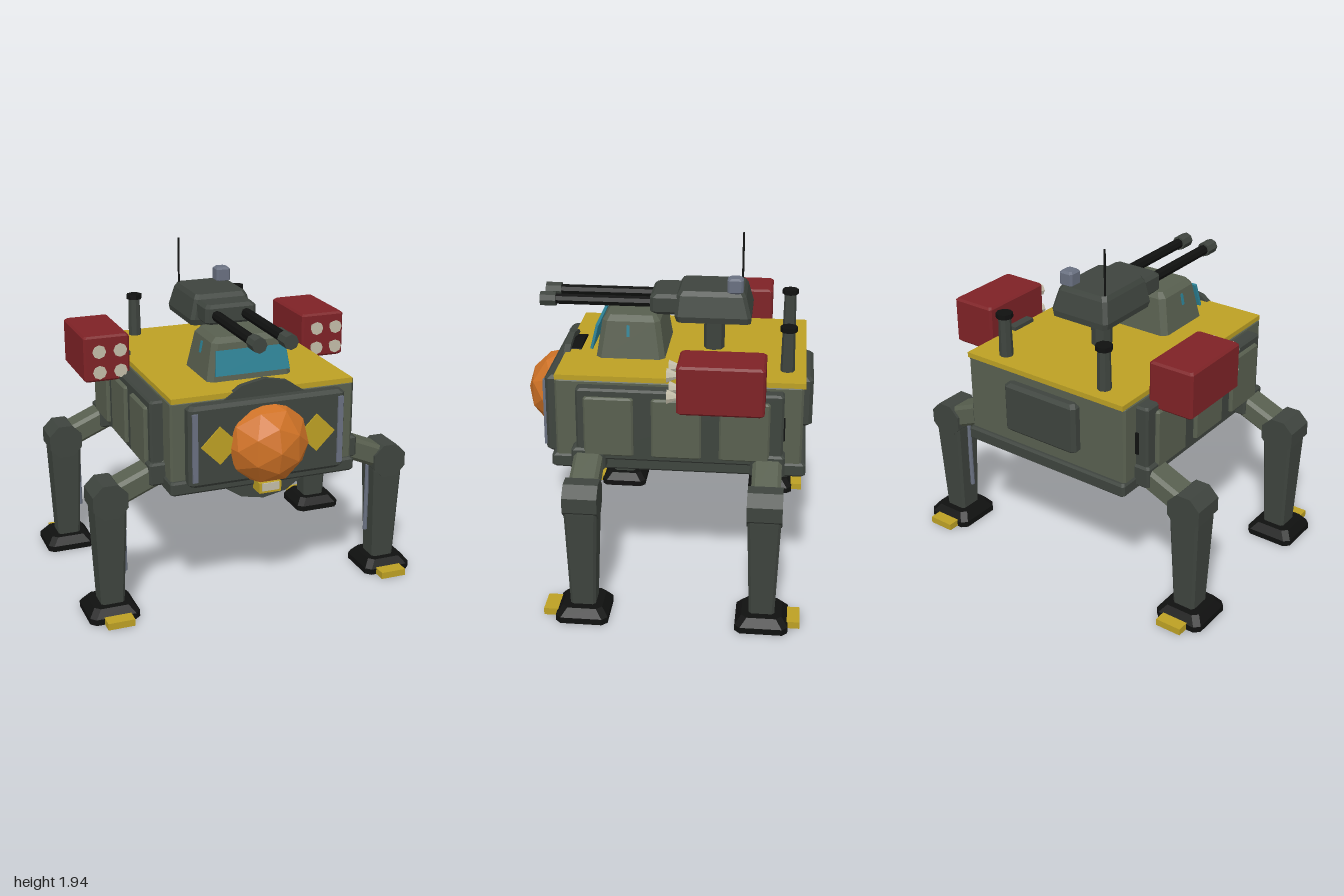
import * as THREE from 'three';

const mat = (name, color) => {
  const m = new THREE.MeshStandardMaterial({ color, flatShading: true });
  m.name = name;
  return m;
};
const M = {
  dark: mat('dark armour', 0x3e443e),
  olive: mat('olive armour', 0x585f4f),
  black: mat('black rubber', 0x101110),
  yellow: mat('yellow paint', 0xbca024),
  red: mat('red pod', 0x7e2226),
  orange: mat('orange dome', 0xcf7226),
  teal: mat('teal glass', 0x2b8094),
  steel: mat('blue steel', 0x697080),
  cream: mat('cream nozzle', 0xc2bca8),
};

// Lofts chamfered rectangles upward. Layers: [y, halfX, halfZ, corner cut, centre z]
function loft(layers) {
  const rings = layers.map(([y, hx, hz, c = 0.015, cz = 0]) => [
    [hx - c, hz], [hx, hz - c], [hx, c - hz], [hx - c, -hz],
    [c - hx, -hz], [-hx, c - hz], [-hx, hz - c], [c - hx, hz],
  ].map(([x, z]) => [x, y, z + cz]));
  const p = [];
  const tri = (a, b, c) => p.push(...a, ...b, ...c);
  for (let k = 0; k + 1 < rings.length; k++) {
    for (let i = 0; i < 8; i++) {
      const j = (i + 1) % 8, lo = rings[k], hi = rings[k + 1];
      tri(lo[i], lo[j], hi[j]);
      tri(lo[i], hi[j], hi[i]);
    }
  }
  const bottom = rings[0], top = rings[rings.length - 1];
  for (let i = 1; i < 7; i++) {
    tri(top[0], top[i], top[i + 1]);
    tri(bottom[0], bottom[i + 1], bottom[i]);
  }
  const g = new THREE.BufferGeometry();
  g.setAttribute('position', new THREE.Float32BufferAttribute(p, 3));
  g.computeVertexNormals();
  return g;
}

// Box with bevelled edges, centred on the origin
function bevelBox(w, h, d, b = 0.012) {
  const x = w / 2, y = h / 2, z = d / 2;
  return loft([[-y, x - b, z - b, b], [b - y, x, z, b], [y - b, x, z, b], [y, x - b, z - b, b]]);
}
const box = (w, h, d) => new THREE.BoxGeometry(w, h, d);
const cyl = (top, bottom, h, n = 8) => new THREE.CylinderGeometry(top, bottom, h, n);
// Cylinder along z, first radius facing front
const cylZ = (front, back, len, n = 8) => cyl(front, back, len, n).rotateX(Math.PI / 2);

function add(parent, name, geo, material, x = 0, y = 0, z = 0) {
  const m = new THREE.Mesh(geo, material);
  m.name = name;
  m.position.set(x, y, z);
  parent.add(m);
  return m;
}

function buildLeg(s, z, front) {
  const leg = new THREE.Group();
  leg.name = (front ? 'front' : 'rear') + (s > 0 ? 'LeftLeg' : 'RightLeg');
  leg.position.z = z;
  add(leg, 'hip', bevelBox(0.12, 0.13, 0.19), M.dark, s * 0.57, 0.83, 0);
  const thigh = add(leg, 'thigh', bevelBox(0.42, 0.13, 0.16, 0.02), M.olive, s * 0.665, 0.785, 0);
  thigh.rotation.z = -s * 0.4;
  add(leg, 'knee', cylZ(0.108, 0.108, 0.19, 8).rotateZ(Math.PI / 8), M.dark, s * 0.853, 0.705, 0);
  add(leg, 'shin', loft([[0.07, 0.068, 0.07], [0.64, 0.09, 0.09], [0.7, 0.09, 0.09]]), M.dark, s * 0.85);
  add(leg, 'piston', cyl(0.013, 0.013, 0.42), M.steel, s * 0.757, 0.45, 0);
  add(leg, 'foot', loft([[0, 0.145, 0.145, 0.03], [0.035, 0.145, 0.145, 0.03], [0.08, 0.11, 0.11, 0.03]]),
    M.black, s * 0.855);
  add(leg, 'toe', box(0.155, 0.04, 0.1), M.yellow, s * 0.847, 0.022, front ? 0.17 : -0.16);
  return leg;
}

function buildHull() {
  const hull = new THREE.Group();
  hull.name = 'hull';
  add(hull, 'hullBody', bevelBox(1.08, 0.47, 1.37), M.olive, 0, 1.035, -0.1);
  add(hull, 'skirt', bevelBox(1.1, 0.08, 1.42), M.dark, 0, 0.78, -0.1);
  add(hull, 'deck', box(1.07, 0.03, 1.38), M.yellow, 0, 1.277, -0.105);
  add(hull, 'frontPlate', bevelBox(0.92, 0.465, 0.09, 0.02), M.dark, 0, 1.022, 0.613);
  add(hull, 'rearHatch', bevelBox(0.49, 0.3, 0.08, 0.02), M.dark, 0, 1.06, -0.8);
  for (const s of [1, -1]) {
    // Side armour with three raised panels
    add(hull, 'sideArmour', bevelBox(0.1, 0.42, 1.14), M.dark, s * 0.562, 1.035, -0.112);
    for (let i = 0; i < 3; i++) {
      add(hull, 'sidePanel', bevelBox(0.04, 0.345, 0.275, 0.01), M.olive, s * 0.613, 1.03, 0.275 - i * 0.373);
    }
    add(hull, 'sideVent', box(0.03, 0.13, 0.03), M.black, s * 0.545, 1.025, -0.675);
    add(hull, 'frontStrip', box(0.03, 0.39, 0.02), M.steel, s * 0.428, 1.025, 0.66);
    add(hull, 'diamond', box(0.155, 0.155, 0.009).rotateZ(Math.PI / 4), M.yellow, s * 0.285, 1.025, 0.662);
    // Exhaust stacks
    add(hull, 'exhaustStack', cyl(0.035, 0.04, 0.26), M.dark, s * 0.34, 1.41, -0.69);
    add(hull, 'exhaustCap', cyl(0.048, 0.048, 0.028), M.black, s * 0.34, 1.535, -0.69);
    for (const z of [0.5, -0.7]) add(hull, 'bolt', cyl(0.03, 0.012, 0.02), M.dark, s * 0.5, 0.73, z);
  }
  // Front dome and its collar
  add(hull, 'collar', cylZ(0.35, 0.35, 0.035, 16), M.dark, 0, 1, 0.577);
  add(hull, 'collarBack', cylZ(0.32, 0.32, 0.07, 16), M.black, 0, 1, 0.535);
  add(hull, 'dome', new THREE.IcosahedronGeometry(0.243, 1), M.orange, 0, 1, 0.6);
  add(hull, 'lampHousing', box(0.13, 0.06, 0.1), M.yellow, 0, 0.75, 0.64);
  add(hull, 'lamp', box(0.1, 0.045, 0.008), M.cream, 0, 0.757, 0.693);
  return hull;
}

function buildCabin() {
  const cabin = new THREE.Group();
  cabin.name = 'cabin';
  add(cabin, 'cabinShell', loft([[1.28, 0.255, 0.198, 0.03, 0.2], [1.5, 0.212, 0.165, 0.03, 0.2],
    [1.53, 0.18, 0.14, 0.02, 0.2]]), M.olive);
  const glass = add(cabin, 'windshield', loft([[-0.07, 0.222, 0.008, 0.003], [0.07, 0.207, 0.008, 0.003]]),
    M.teal, 0, 1.402, 0.409);
  glass.rotation.x = -0.23;
  for (const s of [1, -1]) {
    const side = add(cabin, 'sideWindow', box(0.008, 0.065, 0.016), M.teal, s * 0.229, 1.45, 0.213);
    side.rotation.z = s * 0.19;
  }
  return cabin;
}

function buildTurret() {
  const turret = new THREE.Group();
  turret.name = 'turret';
  add(turret, 'pedestal', cyl(0.06, 0.06, 0.25), M.dark, 0, 1.4, -0.26);
  add(turret, 'turretBody', loft([[1.495, 0.185, 0.21, 0.02, -0.265], [1.53, 0.192, 0.217, 0.02, -0.26],
    [1.645, 0.165, 0.196, 0.02, -0.25], [1.672, 0.15, 0.18, 0.02, -0.25]]), M.dark);
  add(turret, 'mantlet', bevelBox(0.31, 0.12, 0.2, 0.02), M.dark, 0, 1.585, 0);
  for (const s of [1, -1]) {
    add(turret, 'gunBarrel', cylZ(0.031, 0.031, 0.6), M.black, s * 0.09, 1.583, 0.37);
    add(turret, 'muzzle', cylZ(0.043, 0.043, 0.09), M.dark, s * 0.09, 1.583, 0.69);
  }
  add(turret, 'sensor', bevelBox(0.087, 0.09, 0.09), M.steel, 0.122, 1.707, -0.383);
  add(turret, 'antenna', cyl(0.006, 0.006, 0.28, 6), M.black, -0.14, 1.8, -0.412);
  return turret;
}

function buildPod(s) {
  const pod = new THREE.Group();
  pod.name = s > 0 ? 'leftRocketPod' : 'rightRocketPod';
  add(pod, 'podBody', bevelBox(0.272, 0.272, 0.465), M.red, s * 0.682, 1.335, -0.348);
  add(pod, 'podMount', box(0.09, 0.1, 0.16), M.dark, s * 0.54, 1.265, -0.352);
  for (const x of [0.618, 0.742]) {
    for (const y of [1.273, 1.395]) {
      add(pod, 'rocketNozzle', cylZ(0.041, 0.014, 0.06), M.cream, s * x, y, -0.09);
    }
  }
  return pod;
}

export function createModel() {
  const model = new THREE.Group();
  model.name = 'walkerTank';
  model.add(buildHull(), buildCabin(), buildTurret());
  for (const s of [1, -1]) {
    model.add(buildPod(s), buildLeg(s, 0.39, true), buildLeg(s, -0.6, false));
  }
  return model;
}
